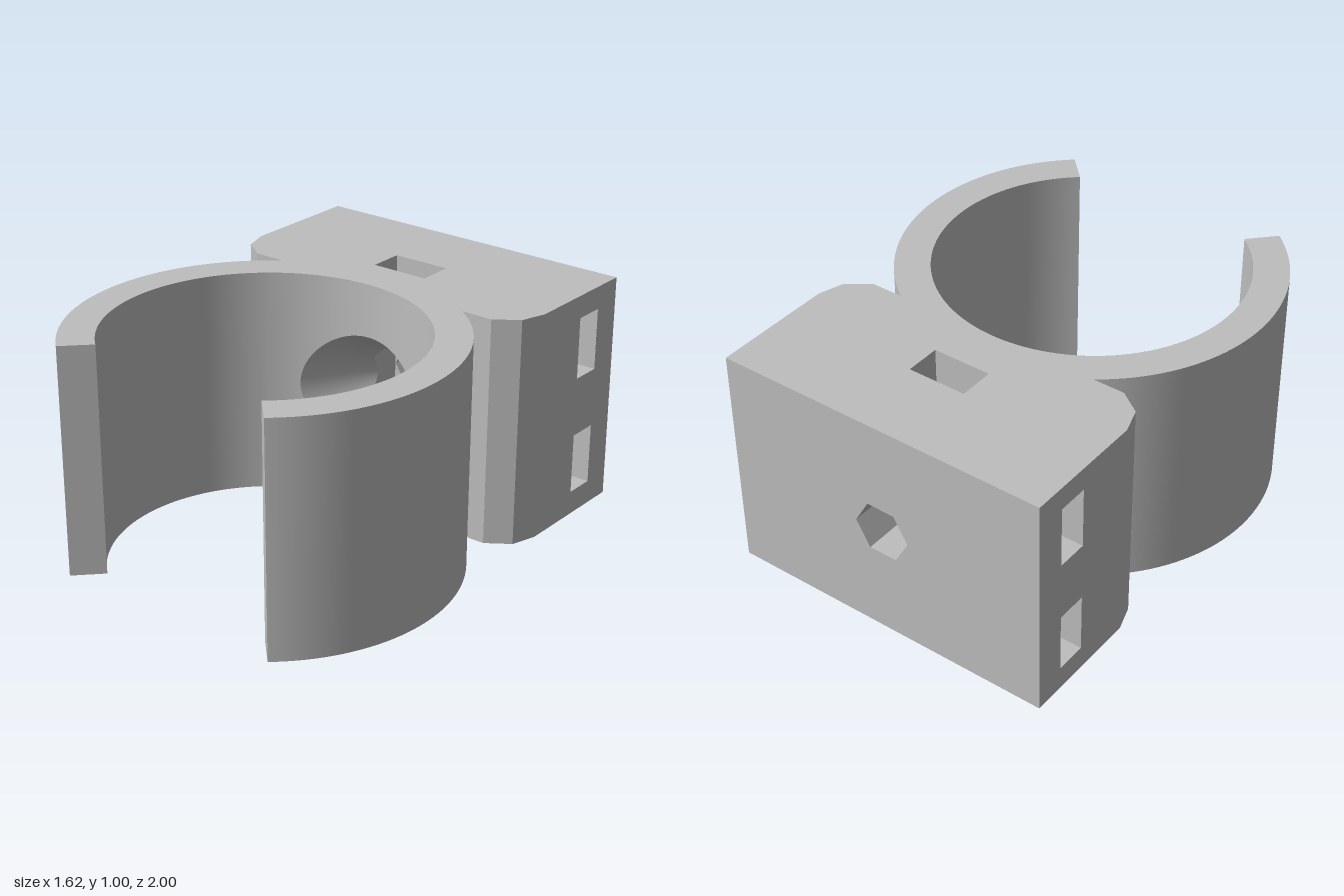
import * as THREE from 'three';
import { mergeGeometries, toCreasedNormals } from 'three/addons/utils/BufferGeometryUtils.js';

const V = (x, y, z) => new THREE.Vector3(x, y, z);

// main dimensions
const CZ = 0.38, R_IN = 0.66, R_OUT = 0.81;        // clip ring centre and radii
const BLOCK_X = 0.745, BACK = -1, SHOULDER = -0.46; // mounting block
const SLOT_X = 0.13, SLOT_F = -0.485, SLOT_B = -0.64; // vertical nut slot
const MOUTH_R = 0.265, MOUTH_Z = -0.28, SLOPE = 0.575; // countersink cone
const HEX_R = 0.127, MID = 0.5;
const CONE_R = MOUTH_R + SLOPE * (SLOT_F - MOUTH_Z); // cone radius at the slot
const EDGE = Math.acos(SLOT_X / CONE_R);
const coneZ = (r) => MOUTH_Z + (r - MOUTH_R) / SLOPE;

// surface from a rule over u, v in 0..1; faces along du x dv
function grid(fn, nu, nv) {
  const pos = [], index = [];
  for (let j = 0; j <= nv; j++)
    for (let i = 0; i <= nu; i++) pos.push(...fn(i / nu, j / nv).toArray());
  for (let j = 0; j < nv; j++)
    for (let i = 0; i < nu; i++) {
      const a = j * (nu + 1) + i, d = a + nu + 1;
      index.push(a, a + 1, d + 1, a, d + 1, d);
    }
  const g = new THREE.BufferGeometry();
  g.setAttribute('position', new THREE.Float32BufferAttribute(pos, 3));
  g.setIndex(index);
  g.computeVertexNormals();
  return g;
}

// path swept along a straight direction
function sweep(path, dir) {
  const n = path.length - 1;
  return grid((u, v) => path[Math.round(u * n)].clone().addScaledVector(dir, v), n, 1);
}

// flat panel with holes, turned about y and moved into place
function panel(points, holes, turn, x, z) {
  const toV2 = (list) => list.map(([a, b]) => new THREE.Vector2(a, b));
  const shape = new THREE.Shape(toV2(points));
  holes.forEach((h) => shape.holes.push(new THREE.Path(toV2(h))));
  const g = new THREE.ShapeGeometry(shape);
  g.deleteAttribute('uv');
  return g.rotateY(turn).translate(x, 0, z);
}

const rect = (a, b, y0, y1) => [[a, y0], [b, y0], [b, y1], [a, y1]];

function arc(radius, from, to, n) {
  return Array.from({ length: n + 1 }, (_, i) => {
    const f = from + (to - from) * i / n;
    return [radius * Math.sin(f), CZ - radius * Math.cos(f)];
  });
}

export function createModel() {
  const model = new THREE.Group();
  const gray = new THREE.MeshStandardMaterial({ color: 0xbebebe, side: THREE.DoubleSide });
  gray.name = 'lightGray';
  const add = (name, parts) => {
    const mesh = new THREE.Mesh(toCreasedNormals(mergeGeometries(parts), 0.25), gray);
    mesh.name = name;
    model.add(mesh);
  };
  const UP = V(0, 1, 0);
  const wall = (path) => sweep(path.map(([x, z]) => V(x, 0, z)), UP);
  const mirror = (path) => path.map(([x, z]) => [-x, z]).reverse();

  // plan outline, right half from the clip tip to the back corner
  const innerEnd = Math.PI - Math.atan2(0.42, 0.51);
  const outerEnd = Math.PI - Math.atan2(0.525, 0.618);
  const outer = arc(R_OUT, outerEnd, Math.acos((CZ + 0.28) / R_OUT), 40);
  const shoulder = [outer[40], [0.61, -0.28], [0.71, -0.35], [BLOCK_X, SHOULDER]];
  const inner = arc(R_IN, -innerEnd, innerEnd, 96);
  const tip = [inner[96], outer[0]];
  const half = [...outer, ...shoulder.slice(1), [BLOCK_X, BACK]];
  const outline = [...mirror(half), ...inner, ...half];

  // top and bottom faces with the nut slot opening
  const slot = rect(-SLOT_X, SLOT_X, SLOT_B, SLOT_F);
  const flip = (list) => list.map(([x, z]) => [x, -z]);
  add('topFace', [panel(flip(outline), [flip(slot)], 0, 0, 0).rotateX(-Math.PI / 2).translate(0, 1, 0)]);
  add('bottomFace', [panel(outline, [slot], 0, 0, 0).rotateX(Math.PI / 2)]);

  // clip arms: outer walls and tips
  add('clipArms', [outer, mirror(outer), tip, mirror(tip)].map(wall));

  // clip bore, with a patch around the countersink mouth
  const PATCH = 0.7;
  const bore = (f, y) => V(R_IN * Math.sin(f), y, CZ - R_IN * Math.cos(f));
  const mouth = (t) => {
    let r = MOUTH_R;
    for (let i = 0; i < 30; i++) {
      const z = CZ - Math.sqrt(R_IN ** 2 - (r * Math.cos(t)) ** 2);
      r = MOUTH_R + SLOPE * (z - MOUTH_Z);
    }
    return r;
  };
  const square = (c) => THREE.MathUtils.clamp(c * Math.SQRT2, -1, 1);
  add('clipBore', [
    wall(arc(R_IN, -innerEnd, -PATCH, 36)),
    wall(arc(R_IN, PATCH, innerEnd, 36)),
    grid((u, v) => {
      const t = u * Math.PI * 2, c = Math.cos(t), s = Math.sin(t), r = mouth(t);
      const f = THREE.MathUtils.lerp(PATCH * square(c), Math.asin(r * c / R_IN), v);
      return bore(f, MID + THREE.MathUtils.lerp(0.5 * square(s), r * s, v));
    }, 96, 8),
  ]);

  // conical countersink running back into the nut slot
  add('countersink', [grid((u, v) => {
    const t = u * Math.PI * 2, c = Math.cos(t);
    const end = Math.min(CONE_R, SLOT_X / Math.max(Math.abs(c), 1e-6));
    const r = THREE.MathUtils.lerp(mouth(t), end, v);
    return V(r * c, MID + r * Math.sin(t), coneZ(r));
  }, 96, 4)]);

  // mounting block: back, sides with strap openings, chamfered shoulders
  const hex = Array.from({ length: 7 }, (_, i) =>
    [HEX_R * Math.cos(i * Math.PI / 3), MID + HEX_R * Math.sin(i * Math.PI / 3)]);
  const hexHole = hex.slice(0, 6);
  const straps = [[0.105, 0.37], [0.63, 0.9]], S0 = -0.865, S1 = -0.73;
  const side = (s) => panel(rect(-s * BACK, -s * SHOULDER, 0, 1),
    straps.map(([a, b]) => rect(-s * S0, -s * S1, a, b)), s * Math.PI / 2, s * BLOCK_X, 0);
  add('mountingBlock', [
    panel(rect(-BLOCK_X, BLOCK_X, 0, 1), [hexHole], Math.PI, 0, BACK),
    side(1), side(-1), wall(shoulder), wall(mirror(shoulder)),
  ]);

  // strap tunnels crossing the block
  add('strapTunnels', straps.map(([a, b]) => sweep(
    [[S1, a], [S1, b], [S0, b], [S0, a], [S1, a]].map(([z, y]) => V(-BLOCK_X, y, z)),
    V(2 * BLOCK_X, 0, 0))));

  // hexagonal bolt hole
  add('boltHole', [sweep(hex.map(([x, y]) => V(x, y, SLOT_B)), V(0, 0, BACK - SLOT_B))]);

  // nut slot: back, front above and below the cone, notched sides
  const rim = Array.from({ length: 25 }, (_, i) => {
    const t = EDGE + (Math.PI - 2 * EDGE) * i / 24;
    return [CONE_R * Math.cos(t), MID + CONE_R * Math.sin(t)];
  });
  const above = [[-SLOT_X, 1], [SLOT_X, 1], ...rim];
  const below = above.map(([x, y]) => [x, 1 - y]);
  const notch = Array.from({ length: 13 }, (_, i) => {
    const t = EDGE * (i / 6 - 1);
    return [coneZ(SLOT_X / Math.cos(t)), MID + SLOT_X * Math.tan(t)];
  });
  const slotSide = (s) => panel(
    [[SLOT_B, 1], [SLOT_B, 0], [SLOT_F, 0], ...notch, [SLOT_F, 1]].map(([z, y]) => [s * z, y]),
    [], -s * Math.PI / 2, s * SLOT_X, 0);
  add('nutSlot', [
    panel(rect(-SLOT_X, SLOT_X, 0, 1), [hexHole], 0, 0, SLOT_B),
    panel(above, [], Math.PI, 0, SLOT_F),
    panel(below, [], Math.PI, 0, SLOT_F),
    slotSide(1), slotSide(-1),
  ]);

  return model;
}
